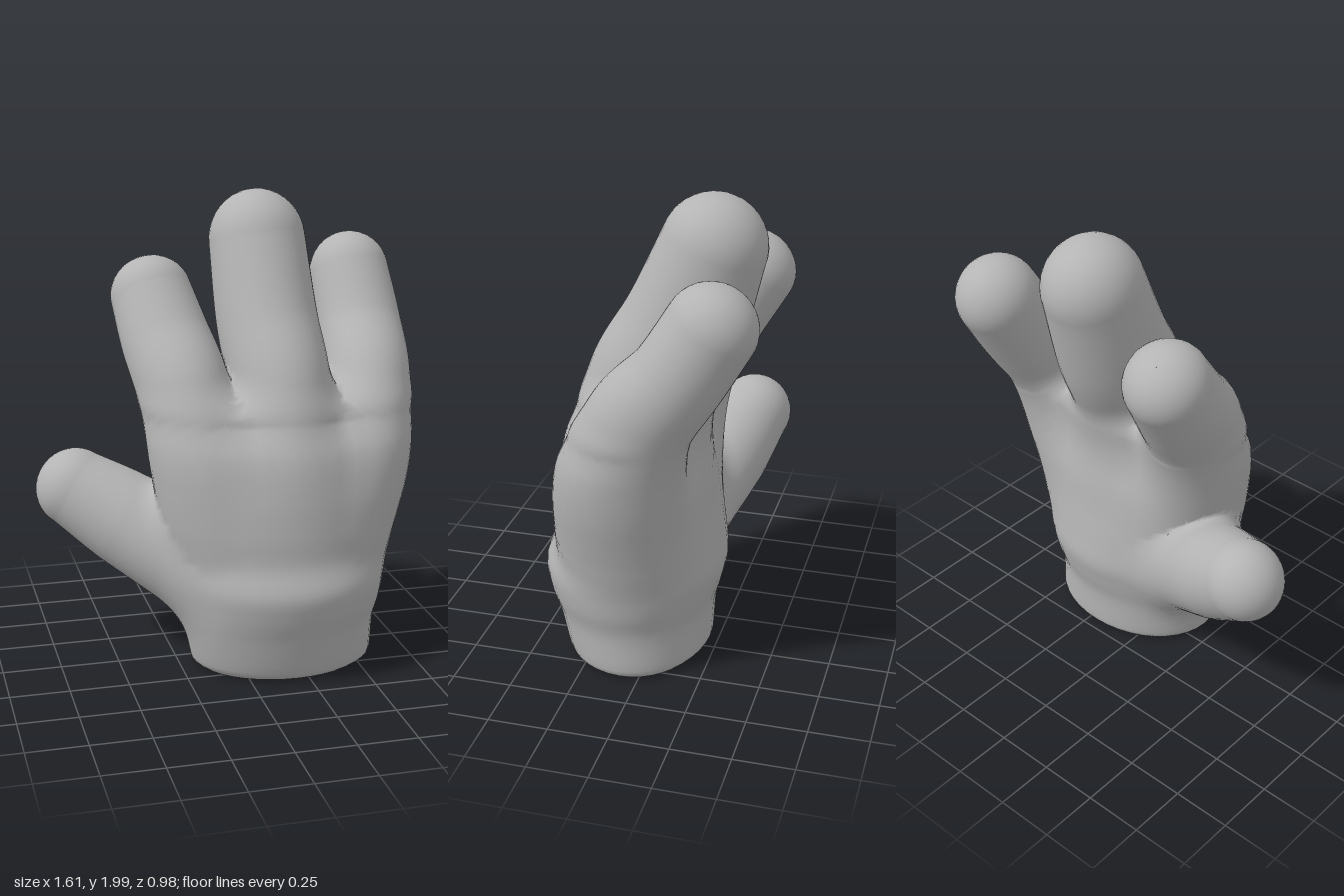
import * as THREE from 'three';

const SIDES = 40, RINGS = 48, CAP_RINGS = 10;
const BLEND = 0.11; // width of the soft join between palm and digits
const X = new THREE.Vector3(1, 0, 0), Y = new THREE.Vector3(0, 1, 0), Z = new THREE.Vector3(0, 0, 1);

// Round-ended limb along stations [x, y, z, width radius, depth radius].
// Its rings stand across the path, or across a fixed axis if one is given.
function limb(name, stations, side, cap, axis) {
  const path = new THREE.CatmullRomCurve3(stations.map((s) => new THREE.Vector3(s[0], s[1], s[2])));
  const size = new THREE.CatmullRomCurve3(stations.map((s) => new THREE.Vector3(s[3], s[4], 0)));
  const rings = [];
  for (let i = 0; i <= RINGS; i++) {
    const t = i / RINGS, r = size.getPoint(t);
    const dir = axis ?? path.getTangent(t);
    const u = side.clone().addScaledVector(dir, -side.dot(dir)).normalize();
    rings.push({ c: path.getPoint(t), dir, u, v: dir.clone().cross(u), rx: r.x, rz: r.y });
  }
  return { name, rings, cap, upright: axis !== undefined };
}

// Approximate signed distance from p to a limb
const w = new THREE.Vector3(), step = new THREE.Vector3();
function distance({ rings, cap, upright }, p) {
  let n = 0, best = Infinity;
  for (let i = 0; i < rings.length; i++) {
    const d = upright ? Math.abs(p.y - rings[i].c.y) : p.distanceToSquared(rings[i].c);
    if (d < best) { best = d; n = i; }
  }
  const near = rings[n];
  let { rx, rz } = near;
  w.subVectors(p, near.c);
  const next = rings[n + (w.dot(near.dir) < 0 ? -1 : 1)];
  if (next) {
    // Slide between two neighbouring rings
    step.subVectors(next.c, near.c);
    const f = THREE.MathUtils.clamp(w.dot(near.dir) / step.dot(near.dir), 0, 1);
    rx += (next.rx - rx) * f;
    rz += (next.rz - rz) * f;
    w.addScaledVector(step, -f);
  }
  const a = w.dot(near.u), b = w.dot(near.v), t = w.dot(near.dir);
  const k0 = Math.hypot(a / rx, b / rz, t / cap);
  const k1 = Math.hypot(a / rx ** 2, b / rz ** 2, t / cap ** 2);
  return k0 * (k0 - 1) / Math.max(k1, 1e-4);
}

// Whole hand: every digit melts into the palm, but not into its neighbours
function handField(palm, digits, p) {
  const a = distance(palm, p);
  let field = Infinity;
  for (const digit of digits) {
    const b = distance(digit, p);
    const h = Math.max(BLEND - Math.abs(a - b), 0) / BLEND;
    field = Math.min(field, Math.min(a, b) - h * h * BLEND / 4);
  }
  return field;
}

// Skin one limb, then ease its outer points onto the blended hand surface
function skin({ rings, cap }, field) {
  const pos = [], nor = [], idx = [];
  const slope = (p, e) => field(p.clone().addScaledVector(e, 0.006)) - field(p.clone().addScaledVector(e, -0.006));
  const outward = (p) => new THREE.Vector3(slope(p, X), slope(p, Y), slope(p, Z)).normalize();
  const last = rings[RINGS];
  const rows = [...rings];
  for (let i = 1; i <= CAP_RINGS; i++) {
    const a = (i / CAP_RINGS) * Math.PI / 2, s = Math.max(Math.cos(a), 0.002);
    const c = last.c.clone().addScaledVector(last.dir, Math.sin(a) * cap);
    rows.push({ ...last, c, rx: last.rx * s, rz: last.rz * s });
  }
  rows.forEach(({ c, u, v, rx, rz }, i) => {
    for (let j = 0; j < SIDES; j++) {
      const a = (j / SIDES) * Math.PI * 2;
      const p = c.clone().addScaledVector(u, rx * Math.cos(a)).addScaledVector(v, rz * Math.sin(a));
      if (field(p) > -0.06) {
        for (let n = 0; n < 3; n++) {
          p.addScaledVector(outward(p), THREE.MathUtils.clamp(-field(p), -0.04, 0.04));
        }
      }
      p.y = Math.max(p.y, 0);
      const normal = outward(p);
      pos.push(p.x, p.y, p.z);
      nor.push(normal.x, normal.y, normal.z);
      const q = i * SIDES + j, r = i * SIDES + (j + 1) % SIDES;
      if (i < rows.length - 1) idx.push(q, r, r + SIDES, q, r + SIDES, q + SIDES);
    }
  });
  const g = new THREE.BufferGeometry();
  g.setAttribute('position', new THREE.Float32BufferAttribute(pos, 3));
  g.setAttribute('normal', new THREE.Float32BufferAttribute(nor, 3));
  g.setIndex(idx);
  return g;
}

export function createModel() {
  const glove = new THREE.MeshStandardMaterial({ name: 'glove grey', color: 0xb4b4b4 });
  const inner = new THREE.MeshStandardMaterial({ name: 'wrist brown', color: 0xc08a6a });
  const hand = new THREE.Group();
  hand.name = 'hand';
  const add = (name, geometry, material) => {
    const m = new THREE.Mesh(geometry, material);
    m.name = name;
    hand.add(m);
  };

  // Palm and wrist, swelling at the heel of the hand
  const palm = limb('palm', [
    [0.2, 0, 0.08, 0.37, 0.28],
    [0.2, 0.025, 0.085, 0.395, 0.305],
    [0.185, 0.2, 0.105, 0.415, 0.335],
    [0.19, 0.3, 0.108, 0.435, 0.365],
    [0.19, 0.4, 0.105, 0.45, 0.383],
    [0.185, 0.52, 0.09, 0.465, 0.355],
    [0.185, 0.65, 0.095, 0.495, 0.34],
    [0.195, 0.8, 0.095, 0.52, 0.32],
    [0.2, 0.98, 0.09, 0.53, 0.275],
    [0.2, 1.09, 0.05, 0.5, 0.23],
  ], X, 0.1, Y);

  // Three fingers curling back, rooted deep in the palm, and the thumb
  const digits = [
    limb('rightFinger', [
      [-0.08, 0.6, 0.08, 0.18, 0.22],
      [-0.15, 0.9, 0.06, 0.19, 0.24],
      [-0.2, 1.2, -0.03, 0.195, 0.22],
      [-0.245, 1.38, -0.16, 0.19, 0.195],
      [-0.28, 1.55, -0.28, 0.175, 0.18],
    ], X, 0.165),
    limb('middleFinger', [
      [0.22, 0.6, 0.1, 0.2, 0.25],
      [0.21, 0.9, 0.1, 0.205, 0.27],
      [0.203, 1.2, 0.035, 0.212, 0.265],
      [0.18, 1.45, -0.09, 0.213, 0.25],
      [0.167, 1.78, -0.21, 0.205, 0.215],
    ], X, 0.215),
    limb('leftFinger', [
      [0.47, 0.6, 0.1, 0.18, 0.23],
      [0.55, 0.9, 0.07, 0.19, 0.25],
      [0.605, 1.2, -0.03, 0.19, 0.215],
      [0.622, 1.4, -0.18, 0.182, 0.185],
      [0.615, 1.61, -0.31, 0.172, 0.18],
    ], X, 0.175),
    limb('thumb', [
      [0.02, 0.27, 0.08, 0.17, 0.17],
      [-0.18, 0.44, 0.0, 0.22, 0.215],
      [-0.44, 0.61, -0.13, 0.2, 0.205],
      [-0.64, 0.735, -0.22, 0.165, 0.172],
    ], Z, 0.165),
  ];
  const field = (p) => handField(palm, digits, p);
  for (const part of [palm, ...digits]) add(part.name, skin(part, field), glove);

  // Flat face closing the wrist
  const face = new THREE.CircleGeometry(1, SIDES);
  face.rotateX(Math.PI / 2).scale(0.372, 1, 0.282).translate(0.2, 0, 0.08);
  add('wristOpening', face, inner);

  return hand;
}
